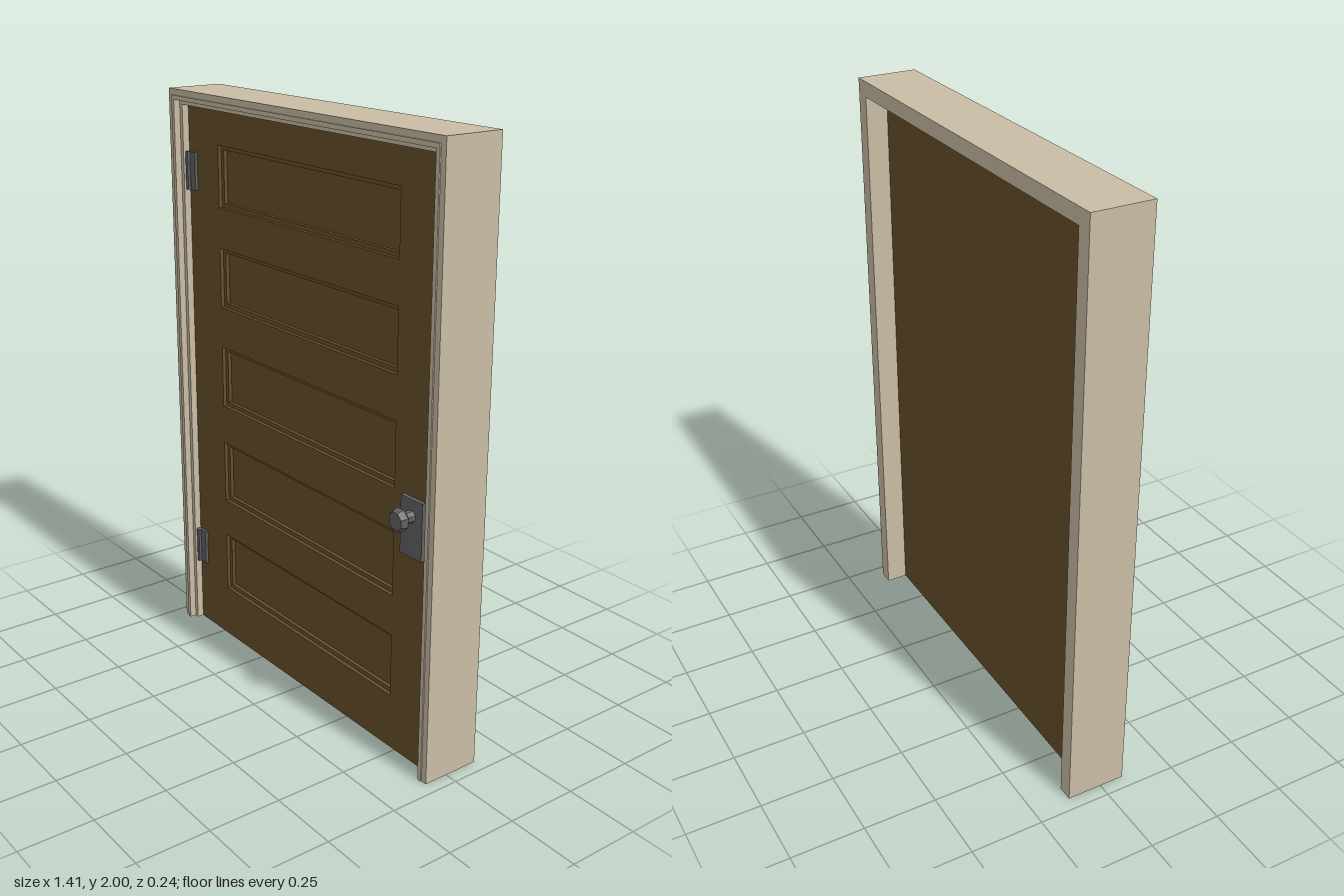
import * as THREE from 'three';

const mat = (color) => new THREE.MeshStandardMaterial({ color, roughness: 0.8, flatShading: true });
const frameMat = mat(0xcabda5);
const doorMat = mat(0x684f2b);
const metalMat = mat(0x626365);

function add(parent, name, geometry, material, x = 0, y = 0, z = 0) {
  const mesh = new THREE.Mesh(geometry, material);
  mesh.name = name;
  mesh.position.set(x, y, z);
  parent.add(mesh);
  return mesh;
}

// Extrude a shape between two depths
function slab(shape, z0, z1) {
  const g = new THREE.ExtrudeGeometry(shape, { depth: z1 - z0, bevelEnabled: false });
  return g.translate(0, 0, z0);
}

// Three-sided surround, open at the floor; insets measured from the outer edge
function surround(insetOut, insetIn) {
  const xo = 0.705 - insetOut, yo = 2 - insetOut;
  const xi = 0.705 - insetIn, yi = 2 - insetIn;
  return new THREE.Shape([
    [-xo, 0], [-xi, 0], [-xi, yi], [xi, yi], [xi, 0], [xo, 0], [xo, yo], [-xo, yo],
  ].map(([x, y]) => new THREE.Vector2(x, y)));
}

// Door outline with five rectangular openings, shrunk by a margin
const panelRows = [[1.62, 1.83], [1.272, 1.48], [0.91, 1.128], [0.546, 0.77], [0.19, 0.408]];
function doorLayer(margin) {
  const w = 0.653, h = 1.95;
  const shape = new THREE.Shape([
    new THREE.Vector2(-w, 0), new THREE.Vector2(w, 0), new THREE.Vector2(w, h), new THREE.Vector2(-w, h),
  ]);
  const px = 0.473 - margin;
  for (const [a, b] of panelRows) {
    const y0 = a + margin, y1 = b - margin;
    shape.holes.push(new THREE.Path([
      new THREE.Vector2(-px, y0), new THREE.Vector2(-px, y1), new THREE.Vector2(px, y1), new THREE.Vector2(px, y0),
    ]));
  }
  return shape;
}

export function createModel() {
  const model = new THREE.Group();
  model.name = 'panelDoor';

  // Frame with stepped front moulding
  const frame = new THREE.Group();
  frame.name = 'doorFrame';
  model.add(frame);
  add(frame, 'frameJamb', slab(surround(0, 0.052), -0.12, 0.065), frameMat);
  add(frame, 'frameCasing', slab(surround(0, 0.036), 0.065, 0.084), frameMat);
  add(frame, 'frameBead', slab(surround(0.021, 0.036), 0.084, 0.088), frameMat);

  // Door leaf: solid back and two pierced layers forming the stepped recesses
  const door = new THREE.Group();
  door.name = 'doorLeaf';
  model.add(door);
  add(door, 'doorBack', new THREE.BoxGeometry(1.306, 1.95, 0.06), doorMat, 0, 0.975, -0.015);
  add(door, 'panelLedges', slab(doorLayer(0.015), 0.015, 0.028), doorMat);
  add(door, 'doorFace', slab(doorLayer(0), 0.028, 0.041), doorMat);

  // Hinges
  for (const y of [1.725, 0.308]) {
    const hinge = new THREE.Group();
    hinge.name = 'hinge';
    hinge.position.set(0, y, 0);
    model.add(hinge);
    add(hinge, 'hingeLeaf', new THREE.BoxGeometry(0.035, 0.13, 0.014), metalMat, -0.622, 0, 0.044);
    add(hinge, 'hingeBarrel', new THREE.CylinderGeometry(0.01, 0.01, 0.13, 8), metalMat, -0.644, 0, 0.052);
  }

  // Backplate and eight-sided knob
  const handle = new THREE.Group();
  handle.name = 'doorHandle';
  model.add(handle);
  add(handle, 'backplate', new THREE.BoxGeometry(0.1, 0.19, 0.018), metalMat, 0.57, 0.815, 0.046);
  const profile = [[0, 0.05], [0.02, 0.05], [0.02, 0.085], [0.029, 0.088], [0.037, 0.096],
    [0.037, 0.108], [0.03, 0.119], [0, 0.119]].map(([r, z]) => new THREE.Vector2(r, z));
  const knob = new THREE.LatheGeometry(profile, 8, Math.PI / 8);
  knob.rotateX(Math.PI / 2);
  add(handle, 'knob', knob, metalMat, 0.57, 0.855, 0);

  return model;
}
